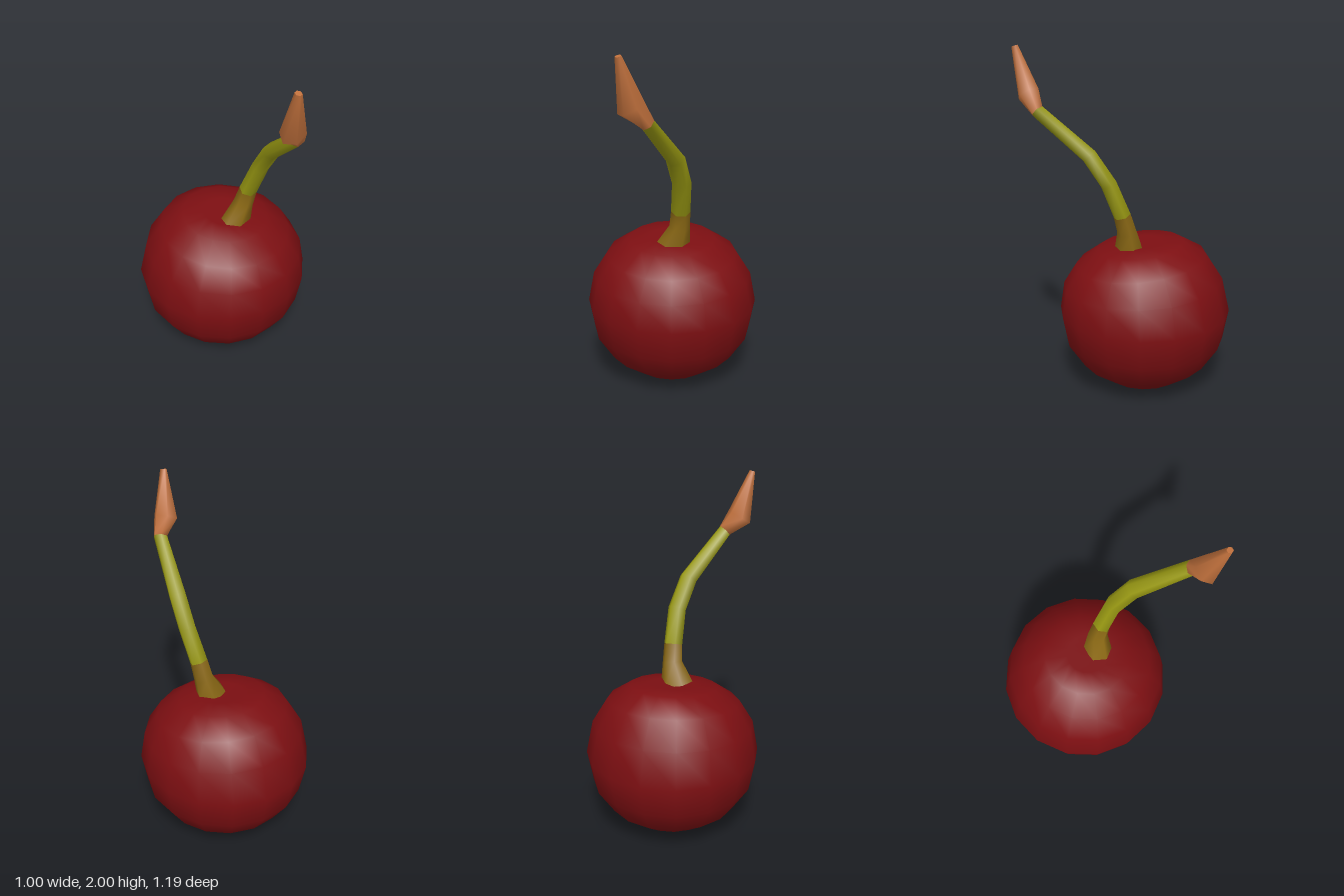
import * as THREE from 'three';
import { mergeVertices } from 'three/addons/utils/BufferGeometryUtils.js';

const material = (name, color) => {
  const m = new THREE.MeshStandardMaterial({ color });
  m.name = name;
  return m;
};

// Fruit: a 16-sided lathe whose upper half leans up toward the back
function fruitGeometry() {
  const profile = [
    [0, 0.005], [0.215, 0.035], [0.37, 0.14], [0.465, 0.28], [0.5, 0.46],
    [0.465, 0.64], [0.38, 0.775], [0.25, 0.86], [0.12, 0.872], [0, 0.845],
  ].map(([r, y]) => new THREE.Vector2(r, y));
  let geo = new THREE.LatheGeometry(profile, 16);
  geo.deleteAttribute('uv');
  geo.deleteAttribute('normal');
  geo = mergeVertices(geo);
  const p = geo.attributes.position;
  for (let i = 0; i < p.count; i++) {
    const lift = THREE.MathUtils.smoothstep(p.getY(i), 0.46, 0.84);
    p.setY(i, p.getY(i) - 0.11 * lift * p.getZ(i));
    p.setZ(i, p.getZ(i) - 0.095 + 0.025 * lift);
  }
  geo.computeVertexNormals();
  return geo;
}

// Stalk stations: centre x, y, z, radius across x, radius across the other way
const stations = [
  [0.0, 0.835, 0.005, 0.105, 0.08],
  [0.045, 0.96, 0.03, 0.06, 0.056],
  [0.05, 1.06, 0.06, 0.055, 0.05],
  [0.055, 1.25, 0.14, 0.054, 0.047],
  [0.02, 1.41, 0.24, 0.054, 0.047],
  [-0.12, 1.65, 0.49, 0.042, 0.04],
  [-0.2, 1.735, 0.52, 0.076, 0.064],
  [-0.255, 1.995, 0.578, 0.017, 0.02],
];
const SIDES = 6;

// One ring of points, square to the stalk's direction at that station
function ring(i) {
  const at = (k) => new THREE.Vector3(...stations[THREE.MathUtils.clamp(k, 0, stations.length - 1)]);
  const before = at(i).sub(at(i - 1)).normalize();
  const after = at(i + 1).sub(at(i)).normalize();
  const t = before.add(after).normalize();
  if (i === 0) t.set(0, 1, 0.15).normalize();
  const u = new THREE.Vector3(1, 0, 0).addScaledVector(t, -t.x).normalize();
  const v = t.clone().cross(u);
  const [, , , ru, rv] = stations[i];
  return Array.from({ length: SIDES }, (_, j) => {
    const a = (j / SIDES) * Math.PI * 2;
    return at(i).addScaledVector(u, ru * Math.cos(a)).addScaledVector(v, rv * Math.sin(a));
  });
}

// Skin over consecutive rings, optionally closed at the end
function skin(first, last, capped) {
  const points = [], index = [];
  for (let i = first; i <= last; i++) points.push(...ring(i));
  for (let i = 0; i < last - first; i++) {
    for (let j = 0; j < SIDES; j++) {
      const a = i * SIDES + j, b = i * SIDES + ((j + 1) % SIDES);
      index.push(a, b, b + SIDES, a, b + SIDES, a + SIDES);
    }
  }
  if (capped) {
    const start = points.length;
    points.push(...ring(last));
    for (let j = 1; j < SIDES - 1; j++) index.push(start, start + j, start + j + 1);
  }
  const geo = new THREE.BufferGeometry().setFromPoints(points);
  geo.setIndex(index);
  geo.computeVertexNormals();
  return geo;
}

export function createModel() {
  const group = new THREE.Group();
  group.name = 'cherry';
  const add = (name, geo, mat) => {
    const mesh = new THREE.Mesh(geo, mat);
    mesh.name = name;
    group.add(mesh);
  };
  add('fruit', fruitGeometry(), material('dark red', 0x7d0f12));
  add('stalkBase', skin(0, 2, false), material('olive brown', 0x8a6814));
  add('stalk', skin(2, 5, false), material('yellow green', 0x979712));
  add('stalkTip', skin(5, 7, true), material('tan', 0xc0703c));
  return group;
}
